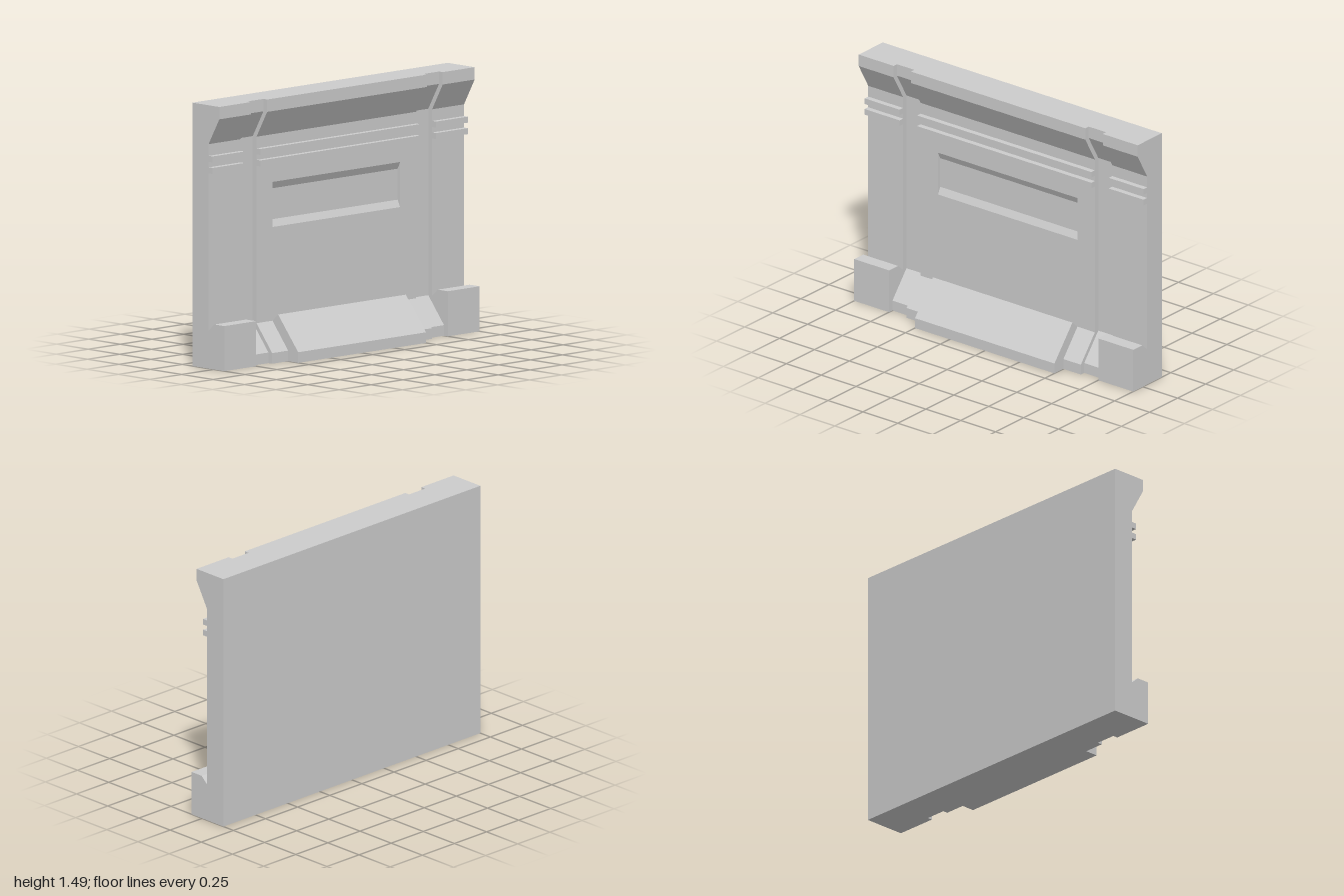
import * as THREE from 'three';

const BACK = -0.17, WALL = -0.04, TOP = 1.49;
const GROOVE = 0.03; // how far the vertical channels are sunk

// Foot profiles, from the floor at the front up to the wall
const centreFoot = [[0.165, 0], [0.165, 0.06], [0.005, 0.255], [WALL, 0.215]];
const blockFoot = [[0.085, 0], [0.085, 0.255], [0.005, 0.255], [WALL, 0.215]];
const slopedFoot = [[0.085, 0], [0.085, 0.06], [WALL, 0.215]];

// Shared upper profiles
const panel = [[WALL, 0.745], [WALL - 0.02, 0.785], [WALL - 0.02, 0.96], [WALL, 1.0]];
const ribs = [1.105, 1.17].flatMap(y =>
  [[WALL, y], [-0.008, y], [-0.008, y + 0.034], [WALL, y + 0.034]]);
const crown = [[WALL, 1.27], [0.045, 1.42], [0.045, TOP]];

export function createModel() {
  const group = new THREE.Group();
  const material = new THREE.MeshStandardMaterial({ color: 0xcccccc, flatShading: true });

  // Extrude a front outline between two z positions
  function section(name, outline, z0, z1, sink = 0) {
    const points = [[BACK, 0], ...outline.map(([x, y]) => [x - sink, y]), [BACK, TOP]];
    const shape = new THREE.Shape(points.map(([x, y]) => new THREE.Vector2(x, y)));
    const geometry = new THREE.ExtrudeGeometry(shape, { depth: z1 - z0, bevelEnabled: false });
    geometry.translate(0, 0, z0);
    const mesh = new THREE.Mesh(geometry, material);
    mesh.name = name;
    group.add(mesh);
  }

  // Middle bay with the recessed panel
  section('centreBay', [...centreFoot, ...panel, ...ribs, ...crown], -0.5, 0.5);

  // Matching strips, channels and end blocks on both sides
  for (const side of [-1, 1]) {
    const pair = (name, outline, a, b, sink) =>
      section(name, outline, Math.min(side * a, side * b), Math.max(side * a, side * b), sink);
    pair('sideStrip', [...slopedFoot, ...ribs, ...crown], 0.5, 0.625);
    pair('verticalChannel', [...slopedFoot, ...crown], 0.625, 0.75, GROOVE);
    pair('endBay', [...blockFoot, ...ribs, ...crown], 0.75, 1);
  }
  return group;
}
